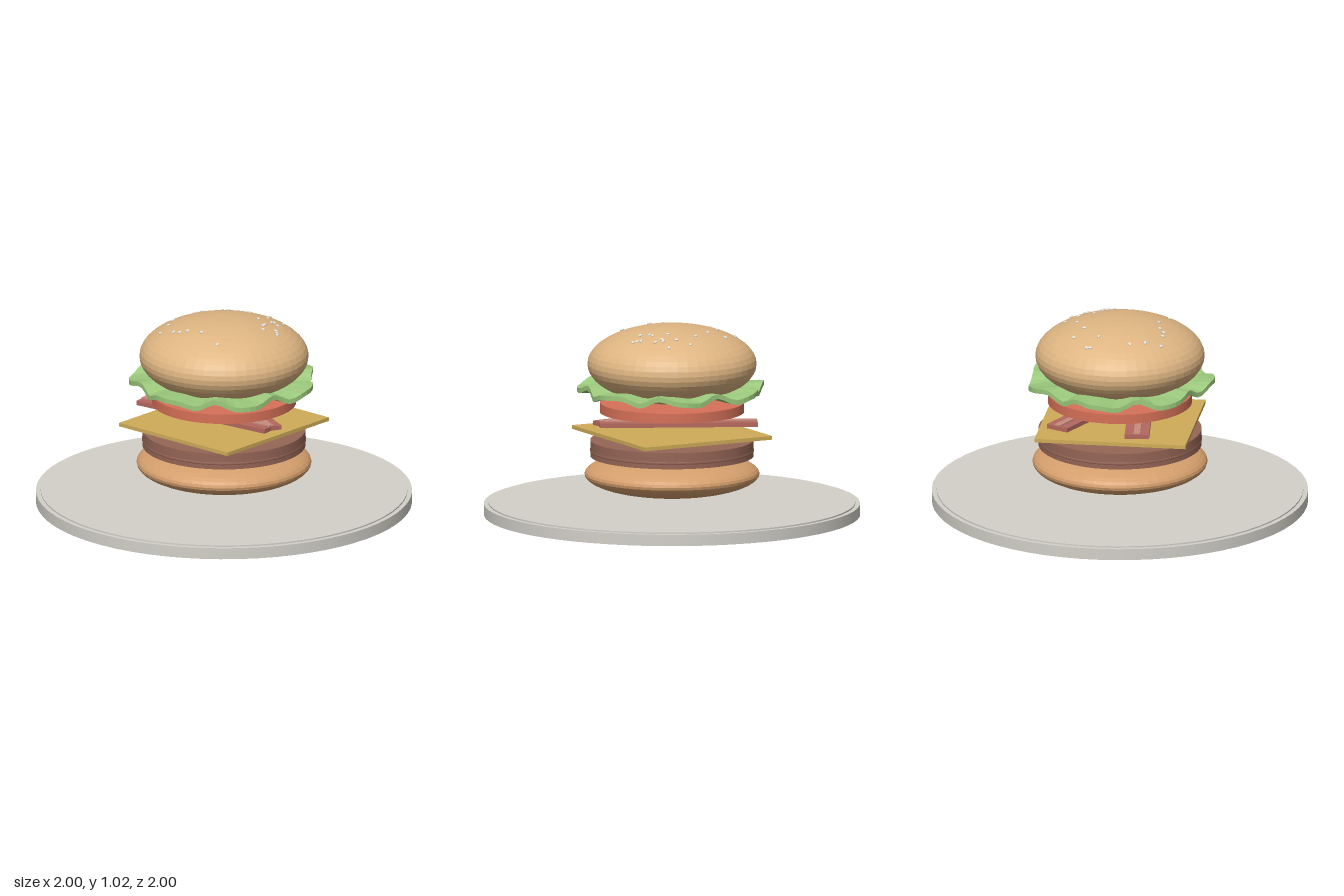
import * as THREE from 'three';

const mat = (name, color, extra = {}) => {
  const m = new THREE.MeshStandardMaterial({ color, ...extra });
  m.name = name;
  return m;
};

// Ruffled leaf disc: closed slab with a lobed outline and a wavy edge
function leafGeometry(segments, rings, thickness) {
  const pos = [], index = [];
  const row = segments + 1;
  for (const side of [1, -1]) {
    for (let j = 0; j <= rings; j++) {
      const t = j / rings;
      for (let i = 0; i <= segments; i++) {
        const a = (i / segments) * Math.PI * 2;
        const r = t * (0.484 + 0.023 * Math.cos(7 * a));
        const wave = 0.017 * Math.sin(10 * a + 0.6) + 0.007 * Math.sin(17 * a + 4 * t);
        pos.push(r * Math.sin(a), wave * t * t + side * thickness / 2, -r * Math.cos(a));
      }
    }
  }
  const under = row * (rings + 1);
  for (let i = 0; i < segments; i++) {
    for (let j = 0; j < rings; j++) {
      const a = j * row + i, b = a + 1, c = a + row, d = c + 1;
      index.push(a, d, b, a, c, d);
      index.push(under + a, under + b, under + d, under + a, under + d, under + c);
    }
    const e = rings * row + i;
    index.push(e, under + e, under + e + 1, e, under + e + 1, e + 1);
  }
  const g = new THREE.BufferGeometry();
  g.setAttribute('position', new THREE.Float32BufferAttribute(pos, 3));
  g.setIndex(index);
  const flat = g.toNonIndexed();
  flat.computeVertexNormals();
  return flat;
}

export function createModel() {
  const flat = { flatShading: true };
  const plateMat = mat('plate grey', 0xd2d0c8);
  const topBunMat = mat('golden crust', 0xdeb582, flat);
  const bottomBunMat = mat('toasted crust', 0xd49e6c, flat);
  const pattyMat = mat('meat brown', 0x966656);
  const cheeseMat = mat('cheese yellow', 0xd0ac58);
  const baconMat = mat('bacon red', 0xb4685e);
  const fatMat = mat('bacon fat', 0xc98c7e);
  const tomatoMat = mat('tomato red', 0xd67058);
  const lettuceMat = mat('lettuce green', 0x9cc97c, { flatShading: true, side: THREE.DoubleSide });
  const seedMat = mat('seed cream', 0xe4e0d6);

  const model = new THREE.Group();
  model.name = 'layeredBurger';

  const add = (name, geometry, material, y = 0, parent = model) => {
    const mesh = new THREE.Mesh(geometry, material);
    mesh.name = name;
    mesh.position.y = y;
    parent.add(mesh);
    return mesh;
  };
  const disc = (name, r, y0, y1, material) =>
    add(name, new THREE.CylinderGeometry(r, r, y1 - y0, 64), material, (y0 + y1) / 2);
  const bun = (name, r, h, y, material) =>
    add(name, new THREE.SphereGeometry(1, 48, 24).scale(r, h, r), material, y);

  // Plate with a slightly raised centre
  disc('plate', 1, 0, 0.061, plateMat);
  disc('plateCentre', 0.975, 0.05, 0.069, plateMat);

  // Lower bun and patty, with a shallow bulge around the patty's side
  bun('bottomBun', 0.465, 0.112, 0.221, bottomBunMat);
  disc('patty', 0.434, 0.317, 0.404, pattyMat);
  const bulge = add('pattyBulge', new THREE.TorusGeometry(0.42, 0.017, 8, 64), pattyMat, 0.348);
  bulge.rotation.x = Math.PI / 2;

  // Cheese slice, turned a little
  const cheese = add('cheeseSlice', new THREE.BoxGeometry(0.81, 0.02, 0.77), cheeseMat, 0.442);
  cheese.rotation.y = 0.175;

  // Two bacon strips meeting at the front
  for (const side of [1, -1]) {
    const strip = new THREE.Group();
    strip.name = side > 0 ? 'baconLeft' : 'baconRight';
    strip.position.set(side * 0.109 - 0.003, side * 0.0005, 0);
    strip.rotation.y = -side * 0.275;
    add('baconStrip', new THREE.BoxGeometry(0.13, 0.024, 0.84), baconMat, 0.508, strip);
    add('baconFat', new THREE.BoxGeometry(0.035, 0.008, 0.838), fatMat, 0.523, strip);
    model.add(strip);
  }

  // Tomato slice and lettuce leaf
  disc('tomatoSlice', 0.384, 0.555, 0.607, tomatoMat);
  add('lettuce', leafGeometry(80, 6, 0.026), lettuceMat, 0.679);

  // Upper bun
  const R = 0.45, H = 0.208, Y = 0.813;
  bun('topBun', R, H, Y, topBunMat);

  // Seeds resting on the crust, given as x, z
  const spots = [
    [0.06, -0.33], [0.08, -0.33], [0.04, -0.24], [0.18, -0.24], [0.15, -0.15], [-0.14, -0.26],
    [-0.21, -0.21], [-0.29, -0.18], [-0.27, -0.09], [-0.26, -0.05], [-0.23, -0.02],
    [-0.2, 0.06], [-0.21, 0.21], [0.31, 0], [0.22, -0.06], [0.17, 0.08], [0.25, 0.06],
    [0.31, 0.12], [0.24, 0.13], [0.23, 0.17], [0.22, 0.13], [0.15, 0.16], [0.13, 0.17],
    [0.1, 0.21], [0.16, 0.25], [0.15, 0.27], [0.17, 0.23],
  ];
  const seeds = new THREE.Group();
  seeds.name = 'seeds';
  model.add(seeds);
  const seedGeometry = new THREE.SphereGeometry(1, 8, 6).scale(0.013, 0.006, 0.009);
  const up = new THREE.Vector3(0, 1, 0);
  spots.forEach(([x, z], i) => {
    const h = H * Math.sqrt(1 - (x * x + z * z) / (R * R));
    const seed = add('seed', seedGeometry, seedMat, Y + h + 0.002, seeds);
    seed.position.x = x;
    seed.position.z = z;
    const normal = new THREE.Vector3(x / (R * R), h / (H * H), z / (R * R)).normalize();
    seed.quaternion.setFromUnitVectors(up, normal);
    seed.rotateY(i * 2.4);
  });

  return model;
}
